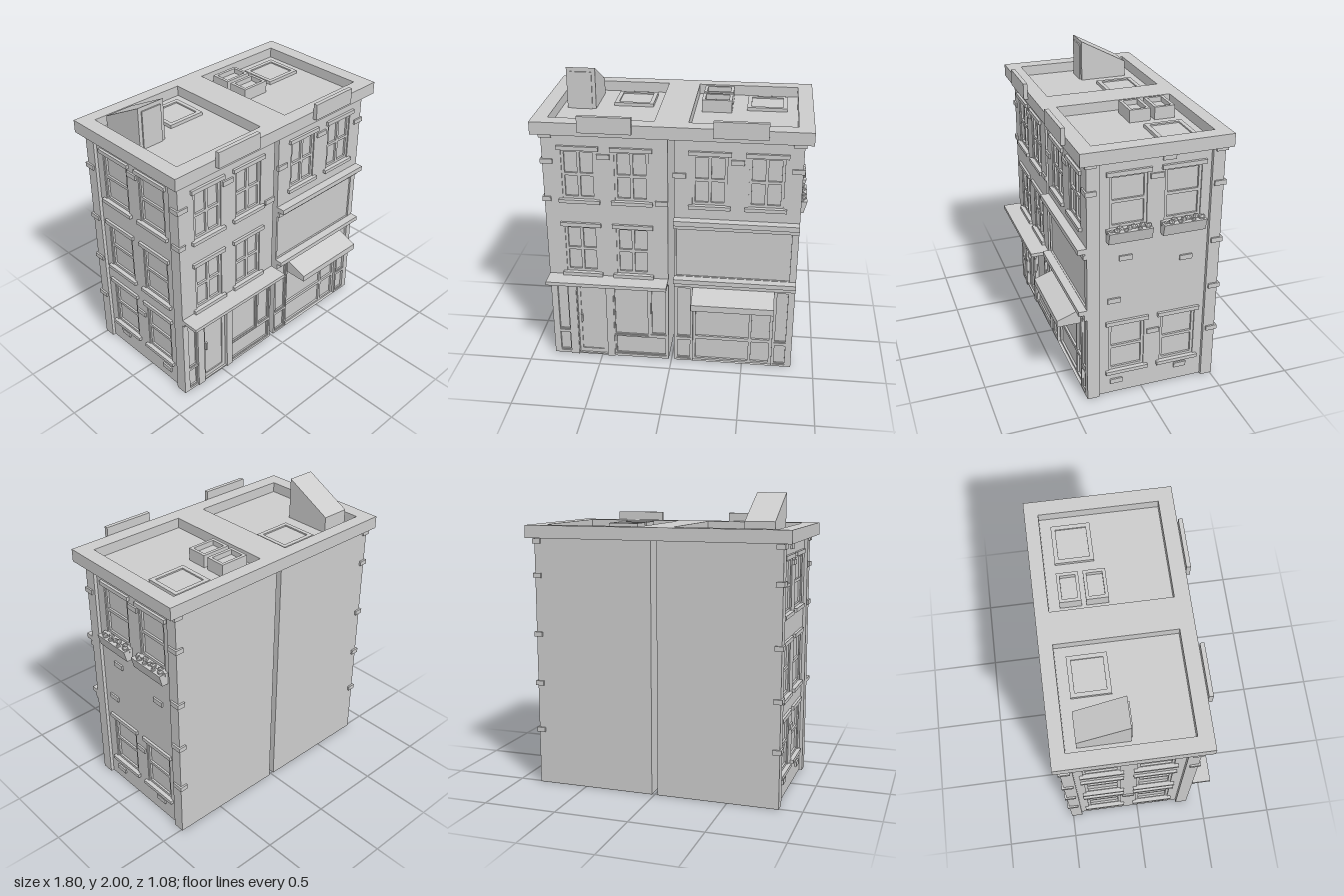
import * as THREE from 'three';

const mat = new THREE.MeshStandardMaterial({ color: 0xcccccc, flatShading: true, side: THREE.DoubleSide });

function add(parent, geo, name) {
  const m = new THREE.Mesh(geo, mat);
  m.name = name;
  parent.add(m);
  return m;
}

// box from min/max corners
function box(parent, name, x0, x1, y0, y1, z0, z1) {
  const m = add(parent, new THREE.BoxGeometry(x1 - x0, y1 - y0, z1 - z0), name);
  m.position.set((x0 + x1) / 2, (y0 + y1) / 2, (z0 + z1) / 2);
  return m;
}

function rect(path, [x0, x1, y0, y1]) {
  path.moveTo(x0, y0).lineTo(x1, y0).lineTo(x1, y1).lineTo(x0, y1).closePath();
  return path;
}

// board in the xy plane with rectangular holes, from z0 to z1
function board(parent, name, outline, holes, z0, z1) {
  const s = rect(new THREE.Shape(), outline);
  holes.forEach(h => s.holes.push(rect(new THREE.Path(), h)));
  const m = add(parent, new THREE.ExtrudeGeometry(s, { depth: z1 - z0, bevelEnabled: false }), name);
  m.position.z = z0;
  return m;
}

// profile in (z, y), extruded along x
function prism(parent, name, pts, x0, x1) {
  const s = new THREE.Shape(pts.map(([z, y]) => new THREE.Vector2(-z, y)));
  const m = add(parent, new THREE.ExtrudeGeometry(s, { depth: x1 - x0, bevelEnabled: false }), name);
  m.rotation.y = Math.PI / 2;
  m.position.x = x0;
  return m;
}

const T = 0.022; // wall thickness

// sash window in an opening, with sill and lintel; wall face at z = 0
function sashWindow(parent, [x0, x1, y0, y1], cols) {
  const g = new THREE.Group();
  g.name = 'window';
  parent.add(g);
  const holes = [], e = 0.018, b = 0.02, w = (x1 - x0 - 2 * e - (cols - 1) * b) / cols;
  const h = (y1 - y0 - 2 * e - b) / 2;
  for (let c = 0; c < cols; c++) for (let r = 0; r < 2; r++) {
    const hx = x0 + e + c * (w + b), hy = y0 + e + r * (h + b);
    holes.push([hx, hx + w, hy, hy + h]);
  }
  board(g, 'windowFrame', [x0, x1, y0, y1], holes, -0.022, -0.008);
  box(g, 'glass', x0, x1, y0, y1, -0.026, -0.022);
  box(g, 'sill', x0 - 0.025, x1 + 0.025, y0 - 0.025, y0, -0.01, 0.022);
  box(g, 'lintel', x0 - 0.025, x1 + 0.025, y1, y1 + 0.028, -0.01, 0.018);
}

// recessed panel or shop pane with a raised inner rim
function recess(parent, name, [x0, x1, y0, y1], rim = 0.008) {
  board(parent, name + 'Rim', [x0, x1, y0, y1], [[x0 + rim, x1 - rim, y0 + rim, y1 - rim]], -T, -0.008);
  box(parent, name, x0, x1, y0, y1, -T - 0.004, -T + 0.003);
}

function brick(parent, x, y, w = 0.085, out = 0.012) {
  box(parent, 'brick', x - w / 2, x + w / 2, y - 0.017, y + 0.017, -0.01, out);
}

const UPPER = [1.235, 1.585], MIDDLE = [0.685, 1.035], LOWER = [0.18, 0.535];

function facade(root, name) {
  const g = new THREE.Group();
  g.name = name;
  g.position.z = 0.385;
  root.add(g);
  return g;
}

function leftFacade(root) {
  const f = facade(root, 'leftFacade');
  const wins = [];
  for (const r of [UPPER, MIDDLE]) for (const x of [-0.72, -0.37]) wins.push([x, x + 0.225, ...r]);
  const panels = [[-0.83, -0.725, 0.195, 0.6], [-0.83, -0.725, 0.02, 0.178],
    [-0.405, -0.16, 0.18, 0.615], [-0.4, -0.035, 0.02, 0.172], [-0.145, -0.035, 0.195, 0.6]];
  const door = [-0.665, -0.455, 0.01, 0.615];
  board(f, 'frontWall', [-0.845, -0.02, 0, 1.7], [...wins, ...panels, door], -T, 0);
  wins.forEach(w => sashWindow(f, w, 2));
  panels.forEach(p => recess(f, 'shopPanel', p));
  box(f, 'doorSurround', ...door, -0.032, -0.022);
  board(f, 'door', [-0.66, -0.46, 0.01, 0.6], [[-0.642, -0.487, 0.04, 0.56]], -0.024, -0.014);
  box(f, 'doorHandle', -0.645, -0.632, 0.27, 0.33, -0.016, 0);
  for (const [a, b] of [[-0.725, -0.668], [-0.458, -0.407]]) box(f, 'pilaster', a, b, 0, 0.62, -0.005, 0.008);
  box(f, 'shopCornice', -0.845, -0.02, 0.635, 0.66, -0.01, 0.13);
  box(f, 'corniceBed', -0.845, -0.02, 0.615, 0.635, -0.01, 0.02);
  brick(f, -0.44, 1.545);
  brick(f, -0.062, 1.23);
}

function rightFacade(root) {
  const f = facade(root, 'rightFacade');
  const wins = [0.14, 0.505].map(x => [x, x + 0.225, ...UPPER]);
  const panels = [];
  for (const [a, b] of [[0.035, 0.138], [0.718, 0.828]]) panels.push([a, b, 0.195, 0.6], [a, b, 0.015, 0.175]);
  const bay = [0.15, 0.705, 0, 0.55], billboard = [0.035, 0.83, 0.695, 1.06];
  board(f, 'frontWall', [0.02, 0.845, 0, 1.7], [...wins, ...panels, bay, billboard], -T, 0);
  wins.forEach(w => sashWindow(f, w, 2));
  panels.forEach(p => recess(f, 'shopPanel', p));
  box(f, 'billboard', ...billboard, -T, -0.012);
  // shop window bay set back from the wall
  const panes = [];
  for (const [a, b] of [[0.168, 0.54], [0.56, 0.685]]) panes.push([a, b, 0.2, 0.515], [a, b, 0.015, 0.175]);
  board(f, 'bayFrame', bay, panes, -0.035, -0.02);
  box(f, 'bayGlass', ...bay, -0.042, -0.035);
  // stepped ledges above and below the billboard
  box(f, 'upperLedge', 0.02, 0.845, 1.1, 1.135, -0.01, 0.058);
  box(f, 'upperLedgeBed', 0.02, 0.845, 1.06, 1.09, -0.01, 0.022);
  box(f, 'upperLedgeCore', 0.02, 0.845, 1.09, 1.1, -0.01, 0.01);
  box(f, 'lowerLedge', 0.02, 0.845, 0.66, 0.692, -0.01, 0.055);
  box(f, 'lowerLedgeBed', 0.02, 0.845, 0.618, 0.66, -0.01, 0.018);
  prism(f, 'awning', [[-0.02, 0.515], [0.157, 0.515], [0.157, 0.56], [0, 0.617], [-0.02, 0.617]], 0.15, 0.705);
  brick(f, 0.43, 1.545);
  brick(f, 0.055, 1.44);
}

// side wall in local space: +z outward, x runs along the wall
function sideWall(root, s) {
  const g = new THREE.Group();
  g.name = s > 0 ? 'leftSideWall' : 'rightSideWall';
  g.rotation.y = s * Math.PI / 2;
  g.position.x = s * 0.822;
  root.add(g);
  const span = (a, b) => [Math.min(-s * a, -s * b), Math.max(-s * a, -s * b)];
  const cols = [span(0.23, -0.012), span(-0.128, -0.37)];
  const rows = s > 0 ? [UPPER, LOWER] : [UPPER, MIDDLE, LOWER];
  const wins = rows.flatMap(r => cols.map(c => [...c, ...r]));
  board(g, 'sideWall', [...span(0.385, -0.51), 0, 1.7], wins, -T, 0);
  wins.forEach(w => sashWindow(g, w, 1));
  box(g, 'frontCornerPost', ...span(0.385, 0.302), 0, 1.7, -T, 0.023);
  box(g, 'backCornerPost', ...span(-0.43, -0.51), 0, 1.7, -T, 0.023);
  const bricks = s > 0
    ? [[0.125, 1.02], [-0.285, 0.95], [0.2, 0.72], [-0.072, 0.435], [-0.275, 0.115], [0.18, 0.092], [-0.15, 1.66], [-0.072, 1.55]]
    : [[-0.15, 1.66], [-0.072, 1.55], [-0.072, 0.435], [-0.275, 0.115], [0.18, 0.092]];
  bricks.forEach(([z, y]) => brick(g, -s * z, y));
  if (s > 0) cols.forEach(([a, b]) => planter(g, a - 0.022, b + 0.022));
}

// tapered window box with faceted blossoms
function planter(parent, a, b) {
  const g = new THREE.Group();
  g.name = 'planter';
  parent.add(g);
  prism(g, 'planterBox', [[0, 1.15], [0.045, 1.15], [0.066, 1.23], [0, 1.23]], a, b);
  for (let i = 0; i < 9; i++) {
    const m = add(g, new THREE.IcosahedronGeometry(0.017 + 0.004 * (i % 3), 0), 'blossom');
    m.position.set(a + 0.025 + (b - a - 0.05) * i / 8, 1.231 + 0.003 * (i % 2), 0.03 + 0.018 * Math.sin(i * 2.4));
    m.rotation.set(i, i * 1.7, 0);
    m.scale.y = 0.8;
  }
}

function quoins(root) {
  for (const s of [-1, 1]) {
    const span = (a, b) => s > 0 ? [a, b] : [-b, -a];
    // back corners
    for (const y of [1.68, 1.45, 1.05, 0.71, 0.38])
      box(root, 'quoin', ...span(0.8, 0.857), y - 0.016, y + 0.016, -0.523, -0.445);
    // front corners
    for (const y of [1.68, 1.5, ...(s < 0 ? [1.23] : [])])
      box(root, 'quoin', ...span(y === 1.23 ? 0.8 : 0.775, 0.857), y - 0.016, y + 0.016, 0.325, 0.396);
  }
}

function roof(root) {
  const g = new THREE.Group();
  g.name = 'roof';
  root.add(g);
  // flat frame lying in the xz plane
  const flat = (name, [x0, x1, z0, z1], holes, y0, y1) => {
    const m = board(g, name, [x0, x1, -z1, -z0], holes.map(h => [h[0], h[1], -h[3], -h[2]]), 0, y1 - y0);
    m.rotation.x = -Math.PI / 2;
    m.position.set(0, y0, 0);
  };
  flat('parapet', [-0.9, 0.9, -0.54, 0.44], [[-0.8, -0.11, -0.45, 0.34], [0.11, 0.8, -0.45, 0.34]], 1.7, 1.785);
  const F = 1.715;
  for (const [a, b] of [[-0.8, -0.11], [0.11, 0.8]]) box(g, 'roofDeck', a, b, 1.702, F, -0.45, 0.34);
  const skylight = (x0, x1, z0, z1, e, top) => {
    flat('skylightFrame', [x0, x1, z0, z1], [[x0 + e, x1 - e, z0 + e, z1 - e]], F, top);
    box(g, 'skylightGlass', x0 + e, x1 - e, F, top - (top - F) * 0.4, z0 + e, z1 - e);
  };
  skylight(-0.45, -0.18, -0.38, -0.125, 0.028, 1.738);
  skylight(0.46, 0.73, -0.38, -0.125, 0.028, 1.738);
  skylight(0.157, 0.36, -0.38, -0.24, 0.021, 1.8);
  skylight(0.157, 0.36, -0.21, -0.067, 0.021, 1.8);
  // stair hut with sloping roof
  prism(g, 'stairHut', [[-0.05, F], [-0.05, 2], [-0.38, 1.825], [-0.38, F]], -0.76, -0.563);
  box(g, 'hutDoor', -0.735, -0.588, F, 1.972, -0.052, -0.041);
  // plain boards on the front edge
  for (const x of [-0.412, 0.448]) box(g, 'signBoard', x - 0.173, x + 0.173, 1.733, 1.843, 0.44, 0.468);
}

export function createModel() {
  const root = new THREE.Group();
  root.name = 'townhouses';
  leftFacade(root);
  rightFacade(root);
  for (const s of [-1, 1]) {
    sideWall(root, s);
    const [a, b] = s > 0 ? [0.02, 0.845] : [-0.845, -0.02];
    box(root, 'backWall', a, b, 0, 1.7, -0.51, -0.5);
    box(root, 'partyWall', s * 0.025 - 0.005, s * 0.025 + 0.005, 0, 1.7, -0.505, 0.38);
  }
  quoins(root);
  roof(root);
  return root;
}
